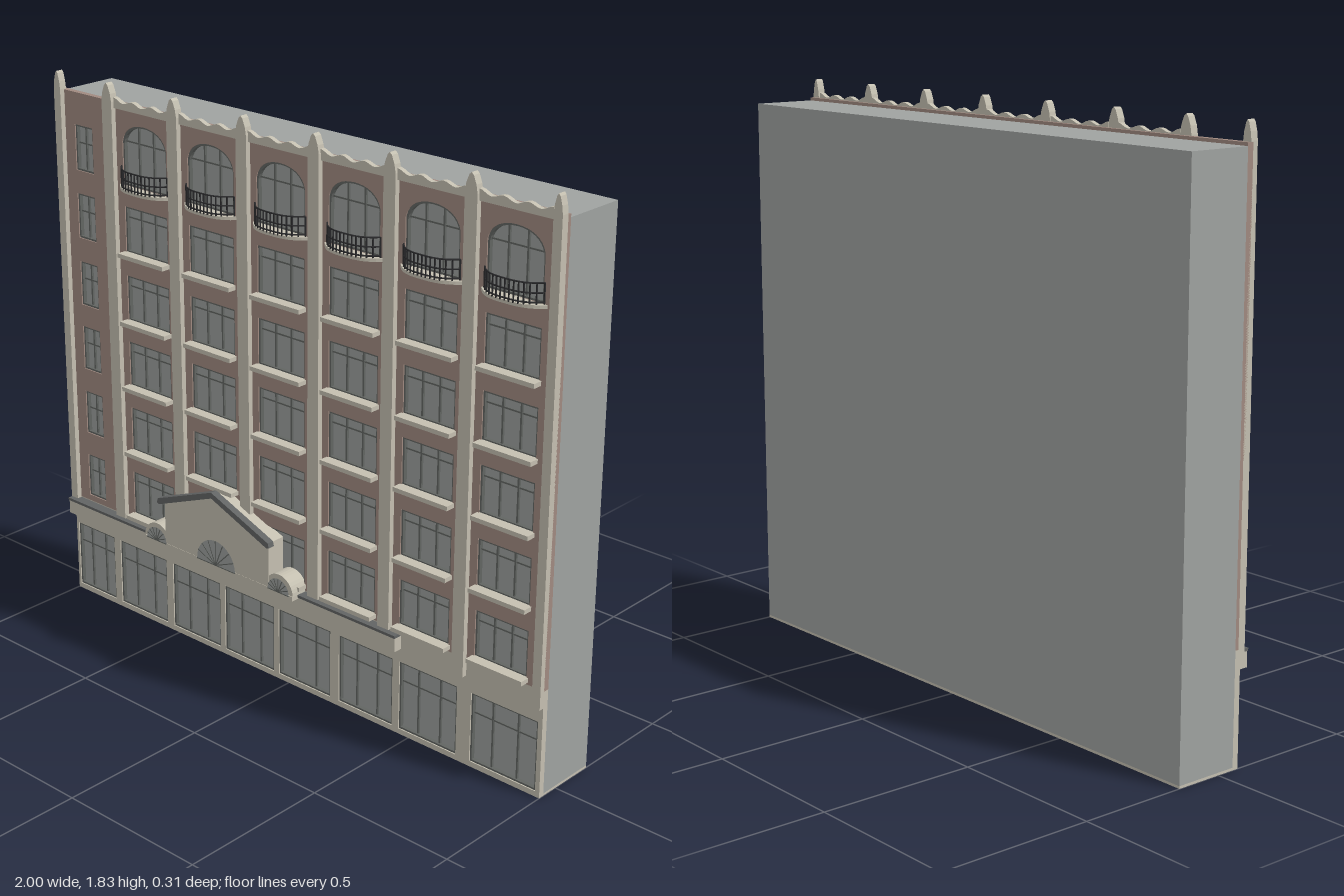
import * as THREE from 'three';

const mat = (name, color, side = THREE.FrontSide) => {
  const m = new THREE.MeshStandardMaterial({ color, side });
  m.name = name;
  return m;
};

export function createModel() {
  const root = new THREE.Group();
  root.name = 'building';
  const M = {
    concrete: mat('grey concrete', 0x9fa2a0),
    glass: mat('grey glass', 0x9b9f9d),
    stone: mat('beige stone', 0xc4bfb0),
    brick: mat('red brown brick', 0xa08a80),
    frame: mat('window frame grey', 0x626562),
    iron: mat('black iron', 0x2c2c2e),
    roof: mat('dark roof', 0x626464),
  };

  const add = (parent, name, geo, material) => {
    const m = new THREE.Mesh(geo, material);
    m.name = name;
    parent.add(m);
    return m;
  };
  // Box given by its limits
  const box = (parent, name, material, x0, x1, y0, y1, z0, z1) => {
    const m = add(parent, name, new THREE.BoxGeometry(x1 - x0, y1 - y0, z1 - z0), material);
    m.position.set((x0 + x1) / 2, (y0 + y1) / 2, (z0 + z1) / 2);
    return m;
  };
  const extrude = (parent, name, material, shape, z0, z1) => {
    const g = new THREE.ExtrudeGeometry(shape, { depth: z1 - z0, bevelEnabled: false, curveSegments: 8 });
    return add(parent, name, g.translate(0, 0, z0), material);
  };
  const poly = (pts) => new THREE.Shape(pts.map(([x, y]) => new THREE.Vector2(x, y)));

  // Window outline, rectangular or with a flat arched head
  const outline = (w, inset = 0, Kind = THREE.Shape) => {
    const x0 = w.x0 + inset, x1 = w.x1 - inset, y0 = w.y0 + inset, y1 = w.y1 - inset;
    const p = new Kind();
    p.moveTo(x0, y0);
    p.lineTo(x1, y0);
    if (w.arched) {
      const c = (x0 + x1) / 2, h = (x1 - x0) / 2, s = y1 - 0.06;
      p.lineTo(x1, s);
      p.bezierCurveTo(c + h * 0.92, y1 - 0.02, c + h * 0.5, y1, c, y1);
      p.bezierCurveTo(c - h * 0.5, y1, c - h * 0.92, y1 - 0.02, x0, s);
    } else {
      p.lineTo(x1, y1);
      p.lineTo(x0, y1);
    }
    p.lineTo(x0, y0);
    return p;
  };

  const bays = [-0.607, -0.318, -0.027, 0.262, 0.551, 0.84];
  const rows = [0.375, 0.605, 0.835, 1.06, 1.29];
  const upper = [], ground = [];
  for (const x of bays) {
    for (const y of rows) upper.push({ x0: x - 0.096, x1: x + 0.096, y0: y, y1: y + 0.152, cuts: [1 / 3, 2 / 3], transom: 0.76, sill: true });
    upper.push({ x0: x - 0.098, x1: x + 0.098, y0: 1.512, y1: 1.713, cuts: [1 / 3, 2 / 3], transom: 0.7, arched: true });
  }
  for (const y of [...rows, 1.517]) upper.push({ x0: -0.926, x1: -0.844, y0: y, y1: y + 0.15, cuts: [0.5], transom: 0.6 });
  for (const [x0, x1] of [[-0.99, -0.81], [-0.78, -0.555], [-0.525, -0.305], [-0.283, -0.064],
    [-0.043, 0.178], [0.214, 0.433], [0.46, 0.685], [0.738, 0.984]]) {
    ground.push({ x0, x1, y0: 0.018, y1: 0.25, cuts: [0.31, 0.69], transom: 0.71 });
  }

  // Main block and the slab beneath it
  box(root, 'mainBlock', M.concrete, -1, 1, 0.008, 1.762, -0.153, 0.058);
  box(root, 'baseSlab', M.stone, -1, 1, 0, 0.008, -0.153, 0.078);

  // Pierced front walls
  const wall = (name, material, y0, y1, list) => {
    const s = poly([[-1, y0], [1, y0], [1, y1], [-1, y1]]);
    list.forEach((w) => s.holes.push(outline(w, 0, THREE.Path)));
    extrude(root, name, material, s, 0.058, 0.078);
  };
  wall('brickWall', M.brick, 0.355, 1.772, upper);
  wall('groundWall', M.stone, 0.008, 0.355, ground);

  // Glass, frames, bars and sills
  const windows = new THREE.Group();
  windows.name = 'windows';
  root.add(windows);
  for (const w of [...upper, ...ground]) {
    add(windows, 'windowGlass', new THREE.ShapeGeometry(outline(w), 8), M.glass).position.z = 0.061;
    const ring = outline(w);
    ring.holes.push(outline(w, 0.006, THREE.Path));
    extrude(windows, 'windowFrame', M.frame, ring, 0.06, 0.074);
    const W = w.x1 - w.x0, H = w.y1 - w.y0;
    for (const c of w.cuts) {
      const x = w.x0 + W * c;
      box(windows, 'mullion', M.frame, x - 0.003, x + 0.003, w.y0, w.y1 - 0.006, 0.06, 0.068);
    }
    const t = w.y0 + H * w.transom;
    box(windows, 'transom', M.frame, w.x0, w.x1, t - 0.0025, t + 0.0025, 0.06, 0.067);
    if (w.sill) box(windows, 'windowSill', M.stone, w.x0 - 0.006, w.x1 + 0.006, w.y0 - 0.012, w.y0 + 0.002, 0.07, 0.11);
  }

  // Pilasters with pointed tops; the last two run lower
  [-0.985, -0.754, -0.465, -0.171, 0.118, 0.406, 0.695, 0.985].forEach((x, i) => {
    const h = i === 0 || i === 7 ? 0.015 : 0.022, y0 = i > 5 ? 0.3 : 0.34;
    extrude(root, 'pilaster', M.stone, poly([[x - h, y0], [x + h, y0], [x + h, 1.775], [x + h * 0.8, 1.8],
      [x + h * 0.35, 1.825], [x, 1.832], [x - h * 0.35, 1.825], [x - h * 0.8, 1.8], [x - h, 1.775]]), 0.07, 0.095);
  });

  // Scalloped parapet and curved balcony in each bay
  const bulge = (u) => 0.08 + 0.042 * (1 - Math.abs(u) ** 3);
  for (const x of bays) {
    const top = [[x - 0.124, 1.755], [x + 0.124, 1.755]];
    for (let i = 0; i <= 24; i++) {
      const u = 1 - i / 12;
      top.push([x + u * 0.124, 1.779 + 0.006 * Math.cos(u * Math.PI * 3 + Math.PI) + 0.004 * u * u]);
    }
    extrude(root, 'parapet', M.stone, poly(top), 0.07, 0.086);

    const balcony = new THREE.Group();
    balcony.name = 'balcony';
    root.add(balcony);
    const edge = [], rail = [];
    for (let i = 0; i <= 16; i++) {
      const u = i / 8 - 1;
      edge.push([x + u * 0.112, -bulge(u)]);
      rail.push(new THREE.Vector3(x + u * 0.102, 0, bulge(u)));
    }
    const slab = new THREE.ExtrudeGeometry(poly([...edge, [x + 0.112, -0.06], [x - 0.112, -0.06]]), { depth: 0.01, bevelEnabled: false });
    slab.rotateX(-Math.PI / 2);
    add(balcony, 'balconyFloor', slab, M.stone).position.y = 1.502;
    const curve = new THREE.CatmullRomCurve3(rail);
    for (const y of [1.518, 1.545, 1.573]) {
      add(balcony, 'balconyRail', new THREE.TubeGeometry(curve, 20, 0.0025, 5), M.iron).position.y = y;
    }
    for (let i = 0; i <= 14; i++) {
      const u = i / 7 - 1, bx = x + u * 0.102, z = bulge(u);
      box(balcony, 'baluster', M.iron, bx - 0.0018, bx + 0.0018, 1.51, 1.573, z - 0.0018, z + 0.0018);
    }
  }

  // Shopfront cornice with dark capping
  box(root, 'cornice', M.stone, -0.998, 0.465, 0.295, 0.343, 0.07, 0.108);
  box(root, 'corniceCap', M.roof, -0.998, 0.468, 0.343, 0.352, 0.07, 0.112);
  box(root, 'gableBase', M.stone, -0.59, 0.07, 0.338, 0.354, 0.07, 0.137);

  // Entrance gable and its sloped roof trim
  const gx = -0.262;
  extrude(root, 'gableWall', M.stone, poly([[gx - 0.232, 0.35], [gx + 0.232, 0.35], [gx + 0.232, 0.505],
    [gx, 0.595], [gx - 0.232, 0.505]]), 0.07, 0.136);
  extrude(root, 'gableRoof', M.roof, poly([[gx - 0.25, 0.5], [gx - 0.24, 0.497], [gx, 0.592], [gx + 0.24, 0.497],
    [gx + 0.25, 0.5], [gx + 0.246, 0.516], [gx, 0.612], [gx - 0.246, 0.516]]), 0.13, 0.154);

  // Fan lights: half discs with radiating bars
  const halfDisc = (r) => {
    const s = new THREE.Shape();
    s.absarc(0, 0, r, 0, Math.PI);
    return s;
  };
  const fan = (x, r, backed) => {
    const g = new THREE.Group();
    g.name = 'fanLight';
    g.position.set(x, 0.352, 0);
    root.add(g);
    if (backed) extrude(g, 'fanSurround', M.stone, halfDisc(r + 0.014), 0.07, 0.134);
    add(g, 'fanGlass', new THREE.ShapeGeometry(halfDisc(r), 16), M.glass).position.z = 0.1375;
    for (let i = 0; i <= 8; i++) {
      const bar = new THREE.BoxGeometry(r, 0.003, 0.003).translate(r / 2, 0, 0);
      const m = add(g, 'fanBar', bar, M.frame);
      m.rotation.z = (i / 8) * Math.PI;
      m.position.z = 0.138;
    }
  };
  fan(gx, 0.085, false);
  fan(-0.535, 0.045, true);
  fan(0.012, 0.045, true);

  return root;
}
